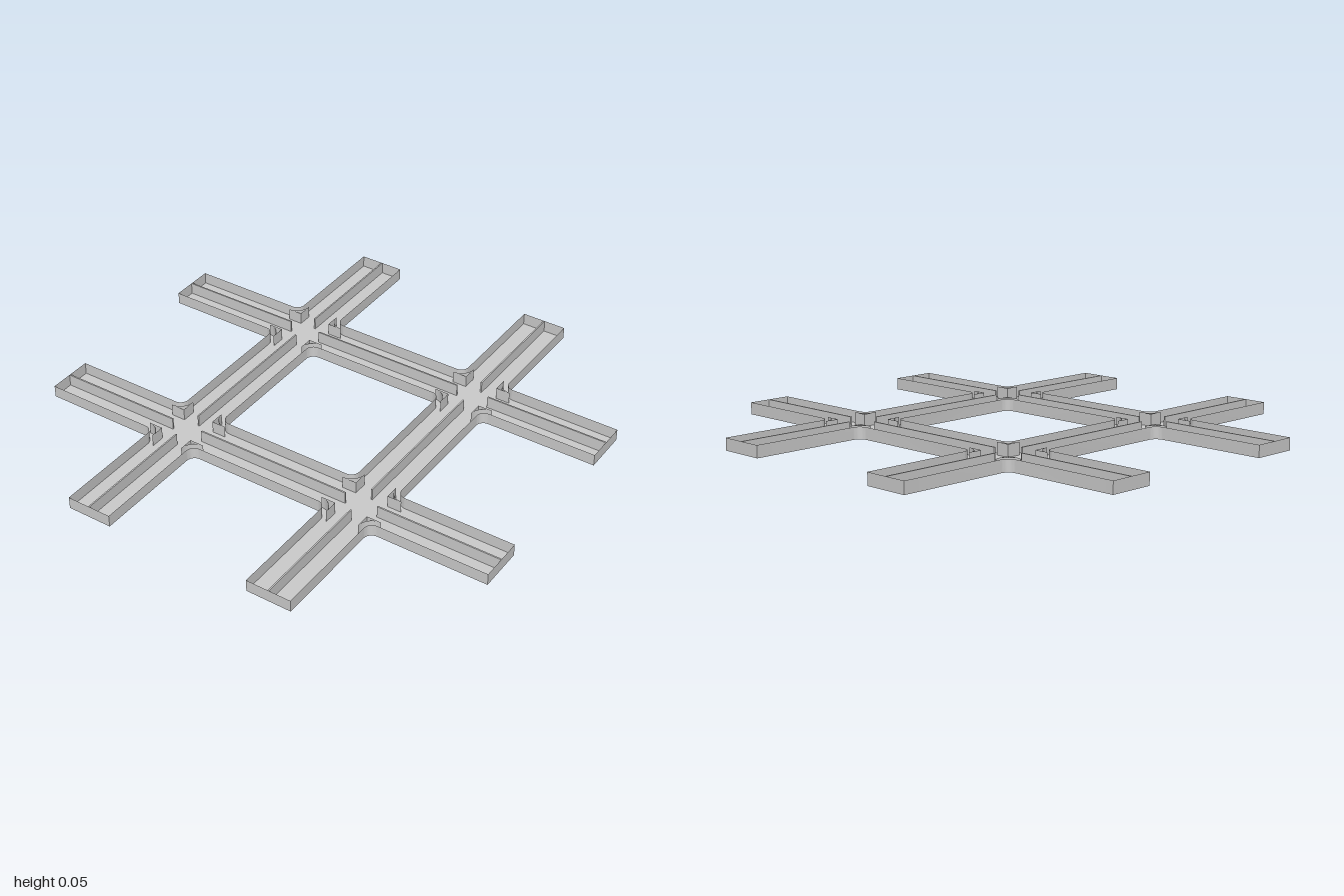
import * as THREE from 'three';
import { toCreasedNormals } from 'three/addons/utils/BufferGeometryUtils.js';

const HEIGHT = 0.05;          // wall height
const MID = 0.405;            // centre line of each channel
const IN = 0.31, OUT = 0.5;   // channel edges
const R = 0.035;              // fillet between channels
const CROSS = 0.07;           // half width of the clear crossing

const material = new THREE.MeshStandardMaterial({ color: 0xcccccc, side: THREE.DoubleSide });

// Points along an arc in plan (x, z)
function arc(cx, cz, r, from, to, steps = 8) {
  return Array.from({ length: steps + 1 }, (_, i) => {
    const a = from + (to - from) * i / steps;
    return new THREE.Vector2(cx + r * Math.cos(a), cz + r * Math.sin(a));
  });
}

// Upright thin wall following a closed plan path
function wallGeometry(path) {
  const pos = [];
  path.forEach((a, i) => {
    const b = path[(i + 1) % path.length];
    pos.push(a.x, 0, a.y, a.x, HEIGHT, a.y, b.x, HEIGHT, b.y);
    pos.push(a.x, 0, a.y, b.x, HEIGHT, b.y, b.x, 0, b.y);
  });
  const g = new THREE.BufferGeometry();
  g.setAttribute('position', new THREE.Float32BufferAttribute(pos, 3));
  return toCreasedNormals(g, Math.PI / 6);
}

export function createModel() {
  const model = new THREE.Group();
  const add = (geometry, name) => {
    const mesh = new THREE.Mesh(geometry, material);
    mesh.name = name;
    model.add(mesh);
    return mesh;
  };
  const P = Math.PI, v = (x, z) => new THREE.Vector2(x, z);

  // One quarter of the outer outline and of the central opening, turned four times
  const quarter = [
    ...arc(OUT + R, IN - R, R, P, P / 2), v(1, IN), v(1, OUT),
    ...arc(OUT + R, OUT + R, R, 1.5 * P, P), v(OUT, 1), v(IN, 1),
    ...arc(IN - R, OUT + R, R, 0, -P / 2),
  ];
  const quarterOpening = arc(IN - R, IN - R, R, 0, P / 2);
  const origin = v(0, 0);
  const around = (pts) => [0, 1, 2, 3].flatMap((k) =>
    pts.map((p) => p.clone().rotateAround(origin, k * P / 2)));
  const outline = around(quarter);
  const opening = around(quarterOpening);

  // Small curved three-sided shafts at the corners of every crossing
  const shaft = [v(CROSS, CROSS), ...arc(0.13, 0.13, 0.06, P, 1.5 * P)];
  const shafts = [];
  for (const cx of [-MID, MID]) for (const cz of [-MID, MID])
    for (const sx of [-1, 1]) for (const sz of [-1, 1])
      shafts.push(shaft.map((p) => v(cx + sx * p.x, cz + sz * p.y)));

  // Floor
  const plan = new THREE.Shape(outline);
  plan.holes = [opening, ...shafts].map((pts) => new THREE.Path(pts));
  add(new THREE.ShapeGeometry(plan).rotateX(P / 2), 'floor');

  // Walls
  add(wallGeometry(outline), 'outerWall');
  add(wallGeometry(opening), 'innerWall');
  shafts.forEach((pts) => add(wallGeometry(pts), 'cornerShaftWall'));

  // Centre dividers, interrupted at the crossings
  const spans = [[-1, -MID - CROSS], [-MID + CROSS, MID - CROSS], [MID + CROSS, 1]];
  for (const side of [-MID, MID]) for (const [a, b] of spans) {
    const g = new THREE.BoxGeometry(b - a, HEIGHT, 0.006);
    add(g, 'crosswiseDivider').position.set((a + b) / 2, HEIGHT / 2, side);
    const m = add(g, 'lengthwiseDivider');
    m.rotation.y = P / 2;
    m.position.set(side, HEIGHT / 2, (a + b) / 2);
  }
  return model;
}
